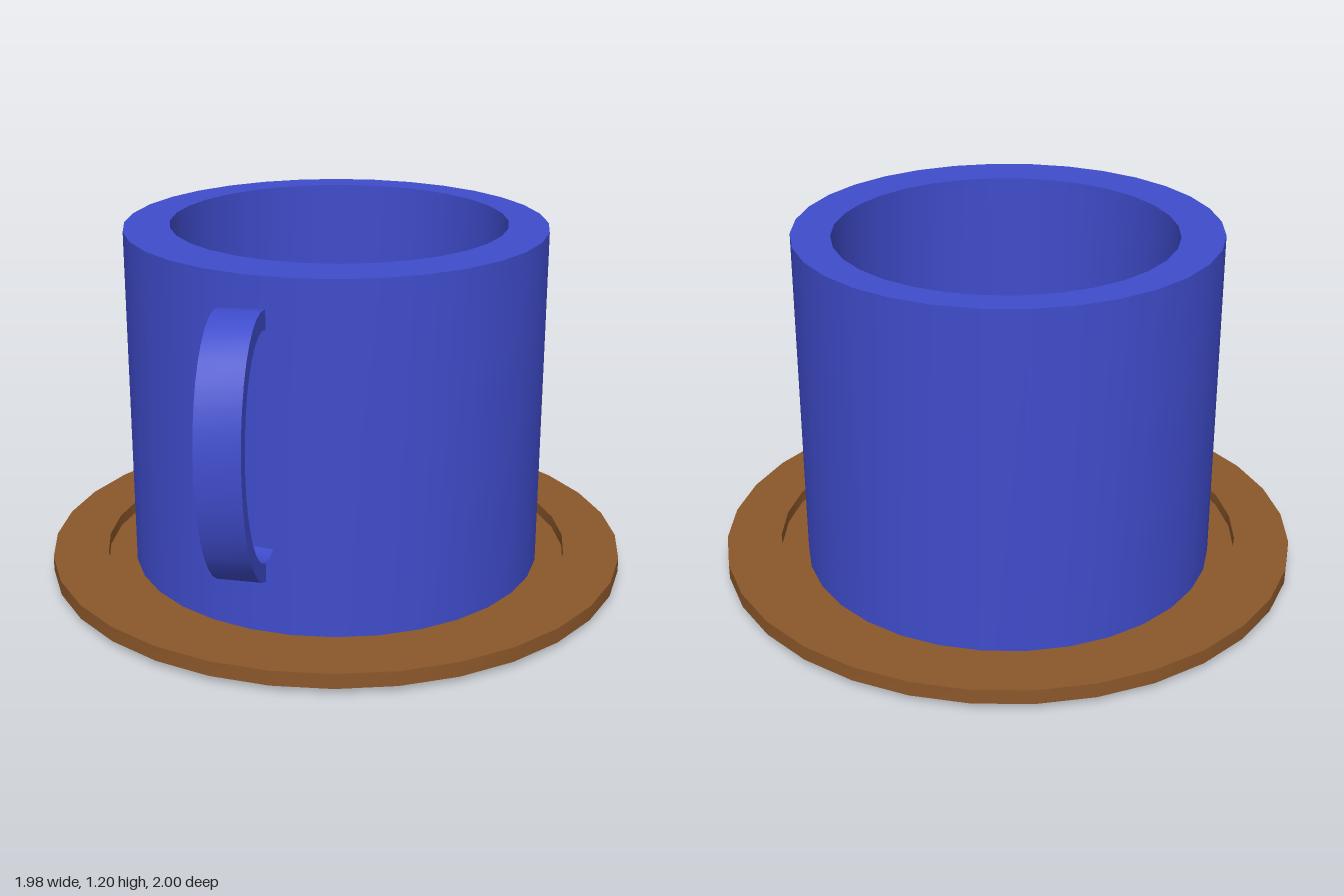
import * as THREE from 'three';
import { toCreasedNormals } from 'three/addons/utils/BufferGeometryUtils.js';

// Joins closed loops of points into a skin; skip(i, j) leaves out single quads.
function loft(loops, skip = () => false) {
  const pos = [];
  const tri = (a, b, c) => {
    if (a.distanceTo(b) < 1e-6 || b.distanceTo(c) < 1e-6 || c.distanceTo(a) < 1e-6) return;
    for (const p of [a, b, c]) pos.push(p.x, p.y, p.z);
  };
  for (let i = 0; i < loops.length - 1; i++) {
    const n = loops[i].length;
    for (let j = 0; j < n; j++) {
      if (skip(i, j)) continue;
      const k = (j + 1) % n;
      tri(loops[i][j], loops[i][k], loops[i + 1][k]);
      tri(loops[i][j], loops[i + 1][k], loops[i + 1][j]);
    }
  }
  const geo = new THREE.BufferGeometry();
  geo.setAttribute('position', new THREE.Float32BufferAttribute(pos, 3));
  return toCreasedNormals(geo, 0.6);
}

// Horizontal circle of points
function ring(r, y, cx, cz, n = 32) {
  return Array.from({ length: n }, (_, j) => {
    const t = (j / n) * Math.PI * 2;
    return new THREE.Vector3(cx + r * Math.sin(t), y, cz + r * Math.cos(t));
  });
}

export function createModel() {
  const group = new THREE.Group();
  const blue = new THREE.MeshStandardMaterial({ color: 0x3f4ccb });
  const brown = new THREE.MeshStandardMaterial({ color: 0x8b572a });
  const add = (name, geo, mat) => {
    const mesh = new THREE.Mesh(geo, mat);
    mesh.name = name;
    group.add(mesh);
  };

  // Saucer: foot disc, wide rim and a recess for the cup
  const saucer = [[0, 0], [0.8, 0], [0.8, 0.02], [0.988, 0.02], [0.988, 0.07], [0.8, 0.07], [0.8, 0.03], [0, 0.03]];
  add('saucer', loft(saucer.map(([r, y]) => ring(r, y, 0, -0.012))), brown);

  // Cup: the bore sits slightly off centre, so the wall is thicker in front
  const outer = [[0, 0.03], [0.705, 0.03], [0.705, 1.195]].map(([r, y]) => ring(r, y, -0.003, -0.03));
  const bore = [[0.565, 1.195], [0.565, 0.17], [0, 0.17]].map(([r, y]) => ring(r, y, 0, -0.065));
  add('cup', loft([...outer, ...bore]), blue);

  // Handle: flat elliptical band, leaning slightly, its ends buried in the wall
  const sections = [];
  for (let deg = 110; deg >= -110; deg -= 10) {
    const t = THREE.MathUtils.degToRad(deg);
    const corner = (rz, ry, side) => {
      const dy = ry * Math.sin(t);
      return new THREE.Vector3(-0.1375 - 0.0176 * dy + side * 0.071, 0.675 + dy, 0.72 + rz * Math.cos(t));
    };
    sections.push([corner(0.28, 0.425, 1), corner(0.28, 0.425, -1), corner(0.237, 0.365, -1), corner(0.237, 0.365, 1)]);
  }
  // The left side is open at the lower end
  add('handle', loft(sections, (i, j) => j === 3 && i >= 19), blue);

  return group;
}
